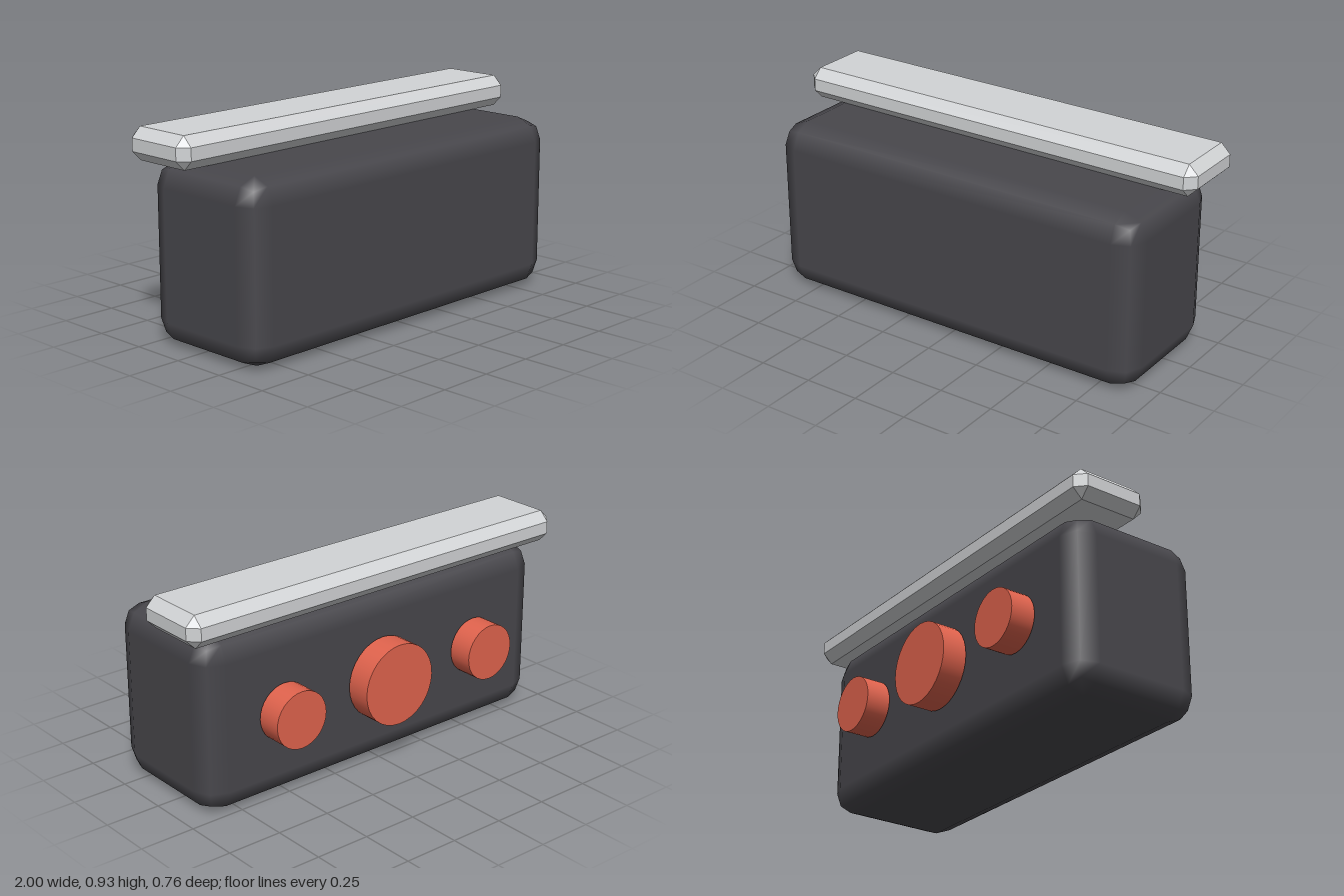
import * as THREE from 'three';
import { RoundedBoxGeometry } from 'three/addons/geometries/RoundedBoxGeometry.js';
import { ConvexGeometry } from 'three/addons/geometries/ConvexGeometry.js';

// Box with every edge and corner cut at 45 degrees
function chamferedBox(w, h, d, c) {
  const points = [];
  for (const x of [-1, 1]) for (const y of [-1, 1]) for (const z of [-1, 1]) {
    for (let axis = 0; axis < 3; axis++) {
      const inset = [c, c, c];
      inset[axis] = 0;
      points.push(new THREE.Vector3(
        x * (w / 2 - inset[0]), y * (h / 2 - inset[1]), z * (d / 2 - inset[2])));
    }
  }
  return new ConvexGeometry(points);
}

export function createModel() {
  const group = new THREE.Group();
  const charcoal = new THREE.MeshStandardMaterial({ color: 0x48474c });
  const silver = new THREE.MeshStandardMaterial({ color: 0xd2d4d6 });
  const red = new THREE.MeshStandardMaterial({ color: 0xe0634d });
  charcoal.name = 'charcoal';
  silver.name = 'silver';
  red.name = 'coral red';

  function add(name, geometry, material, x, y, z) {
    const mesh = new THREE.Mesh(geometry, material);
    mesh.name = name;
    mesh.position.set(x, y, z);
    group.add(mesh);
    return mesh;
  }

  // Main body with softened edges
  add('body', new RoundedBoxGeometry(1.85, 0.787, 0.642, 1, 0.107), charcoal, 0, 0.3935, 0.061);

  // Long bar resting over the back of the body
  add('topBar', chamferedBox(2, 0.142, 0.357, 0.043), silver, 0, 0.859, -0.117);

  // Three round discs on the back
  for (const [name, x, r] of [['rightDisc', -0.533, 0.128], ['centreDisc', 0, 0.185], ['leftDisc', 0.533, 0.128]]) {
    add(name, new THREE.CylinderGeometry(r, r, 0.114, 32), red, x, 0.394, -0.325).rotation.x = Math.PI / 2;
  }
  return group;
}
